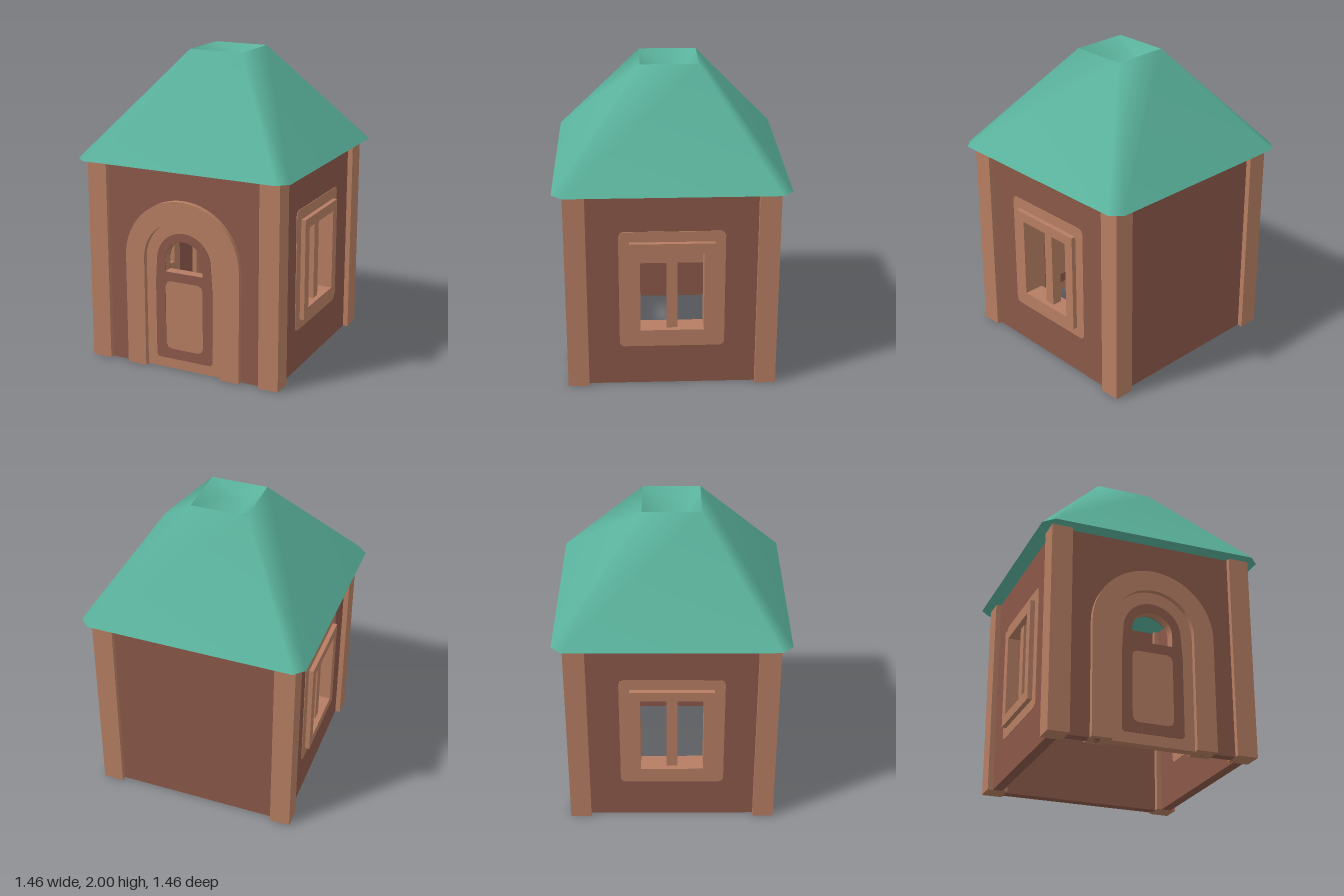
import * as THREE from 'three';
import { toCreasedNormals } from 'three/addons/utils/BufferGeometryUtils.js';

const paint = (name, color) => Object.assign(new THREE.MeshStandardMaterial({ color }), { name });

export function createModel() {
  const lightWood = paint('lightWood', 0xb57d62);
  const darkWood = paint('darkWood', 0x8a5848);
  const roofGreen = paint('roofGreen', 0x5ab29c);

  const model = new THREE.Group();
  model.name = 'house';

  const H = 1.335;               // wall height
  const IN = 0.567, OUT = 0.633; // wall faces
  const POST_IN = 0.533, POST_OUT = 0.667;
  const SPRING = 0.733;          // height where the arches begin
  const PLATE = 0.004;

  const add = (parent, name, geometry, material) => {
    const mesh = new THREE.Mesh(geometry, material);
    mesh.name = name;
    parent.add(mesh);
    return mesh;
  };

  // Extrudes a shape between two depths along z
  const slab = (parent, name, shape, z0, z1, material) => {
    const g = new THREE.ExtrudeGeometry(shape, { depth: z1 - z0, bevelEnabled: false, curveSegments: 20 });
    g.translate(0, 0, z0);
    return add(parent, name, toCreasedNormals(g, 0.5), material);
  };

  // Thin painted plates on both faces of a wall
  const plates = (parent, name, shape, material) => {
    slab(parent, name + 'Outside', shape, OUT, OUT + PLATE, material);
    slab(parent, name + 'Inside', shape, IN - PLATE, IN, material);
  };

  // Rectangle with optional cut corners
  const rect = (w, y0, y1, c = 0) => {
    const pts = c
      ? [[-w + c, y0], [w - c, y0], [w - c * 0.3, y0 + c * 0.3], [w, y0 + c], [w, y1 - c], [w - c * 0.3, y1 - c * 0.3],
        [w - c, y1], [-w + c, y1], [-w + c * 0.3, y1 - c * 0.3], [-w, y1 - c], [-w, y0 + c], [-w + c * 0.3, y0 + c * 0.3]]
      : [[-w, y0], [w, y0], [w, y1], [-w, y1]];
    return new THREE.Shape(pts.map(([x, y]) => new THREE.Vector2(x, y)));
  };

  const arch = (w, y0) => {
    const s = new THREE.Shape();
    s.moveTo(-w, y0).lineTo(w, y0).lineTo(w, SPRING);
    s.absarc(0, SPRING, w, 0, Math.PI, false);
    return s;
  };

  // Traces an arched doorway cut up from the ground, right to left
  const cutDoorway = (s, w) => {
    s.lineTo(-w, 0).lineTo(-w, SPRING);
    s.absarc(0, SPRING, w, Math.PI, 0, true);
    s.lineTo(w, 0);
    return s;
  };

  // Corner posts
  for (const x of [-0.6, 0.6]) for (const z of [-0.6, 0.6]) {
    add(model, 'cornerPost', new THREE.BoxGeometry(0.134, H, 0.134), lightWood).position.set(x, H / 2, z);
  }

  // Plain back wall
  slab(model, 'backWall', rect(POST_IN, 0, H), -OUT, -IN, darkWood);

  // Front wall with its doorway
  const front = new THREE.Shape();
  front.moveTo(POST_IN, 0).lineTo(POST_IN, H).lineTo(-POST_IN, H).lineTo(-POST_IN, 0);
  slab(model, 'frontWall', cutDoorway(front, 0.33), IN, OUT, darkWood);

  // Raised arched door frame
  const frame = new THREE.Shape();
  frame.moveTo(0.4, 0).lineTo(0.4, SPRING);
  frame.absarc(0, SPRING, 0.4, 0, Math.PI, false);
  frame.lineTo(-0.4, 0);
  slab(model, 'doorFrame', cutDoorway(frame, 0.267), POST_IN, POST_OUT, lightWood);

  // Door with an arched opening
  const door = arch(0.267, 0);
  door.holes.push(arch(0.133, 0.655));
  slab(model, 'door', door, IN, OUT, lightWood);

  // Dark trim on the door, around the opening and the lower panel
  const trim = new THREE.Shape();
  trim.moveTo(-0.185, 0.067).lineTo(0.185, 0.067).lineTo(0.2, 0.082).lineTo(0.2, 0.58).lineTo(0.19, 0.73);
  trim.absarc(0, 0.73, 0.19, 0, Math.PI, false);
  trim.lineTo(-0.2, 0.58).lineTo(-0.2, 0.082);
  trim.holes.push(rect(0.133, 0.135, 0.595, 0.035), arch(0.133, 0.655));
  plates(model, 'doorTrim', trim, darkWood);

  // Side walls with windows, built facing +z and turned to each side
  for (const side of [-1, 1]) {
    const wall = new THREE.Group();
    wall.name = side > 0 ? 'leftSide' : 'rightSide';
    wall.rotation.y = side * Math.PI / 2;
    model.add(wall);

    const panel = rect(POST_IN, 0, H);
    panel.holes.push(rect(0.23, 0.37, 0.965));
    slab(wall, 'sideWall', panel, IN, OUT, darkWood);

    const border = rect(0.333, 0.27, 1.07, 0.03);
    border.holes.push(rect(0.26, 0.345, 0.99));
    plates(wall, 'windowBorder', border, lightWood);

    const windowFrame = rect(0.267, 0.335, 1.0);
    windowFrame.holes.push(rect(0.2, 0.4, 0.935));
    slab(wall, 'windowFrame', windowFrame, POST_IN, POST_OUT, lightWood);
    slab(wall, 'windowBar', rect(0.034, 0.4, 0.935), IN, OUT, lightWood);
  }

  // Roof: a cut-cornered eave rising to a square rim
  const shell = (name, points, index) => {
    const g = new THREE.BufferGeometry();
    g.setAttribute('position', new THREE.Float32BufferAttribute(points.flat(), 3));
    g.setIndex(index);
    g.computeVertexNormals();
    add(model, name, g, roofGreen);
  };
  const square = (r, y) => [[r, y, r], [-r, y, r], [-r, y, -r], [r, y, -r]];
  const e = 0.732, c = 0.665;
  const eave = [[e, c], [c, e], [-c, e], [-e, c], [-e, -c], [-c, -e], [c, -e], [e, -c]].map(([x, z]) => [x, H, z]);
  const rim = square(0.183, 2);

  const slopes = [], underside = [];
  for (let i = 0; i < 8; i++) {
    const j = (i + 1) % 8, t = 8 + (i >> 1), u = 8 + (j >> 1);
    slopes.push(j, i, t);
    if (t !== u) slopes.push(j, t, u);
    if (i > 0 && i < 7) underside.push(0, i, j);
  }
  shell('roof', [...eave, ...rim], slopes);
  shell('roofUnderside', eave, underside);

  // Sunken hollow in the roof top
  const hollow = [5, 4, 7, 5, 7, 6];
  for (let i = 0; i < 4; i++) {
    const j = (i + 1) % 4;
    hollow.push(4 + j, j, i, 4 + j, i, 4 + i);
  }
  shell('roofHollow', [...rim, ...square(0.092, 1.93)], hollow);

  return model;
}
